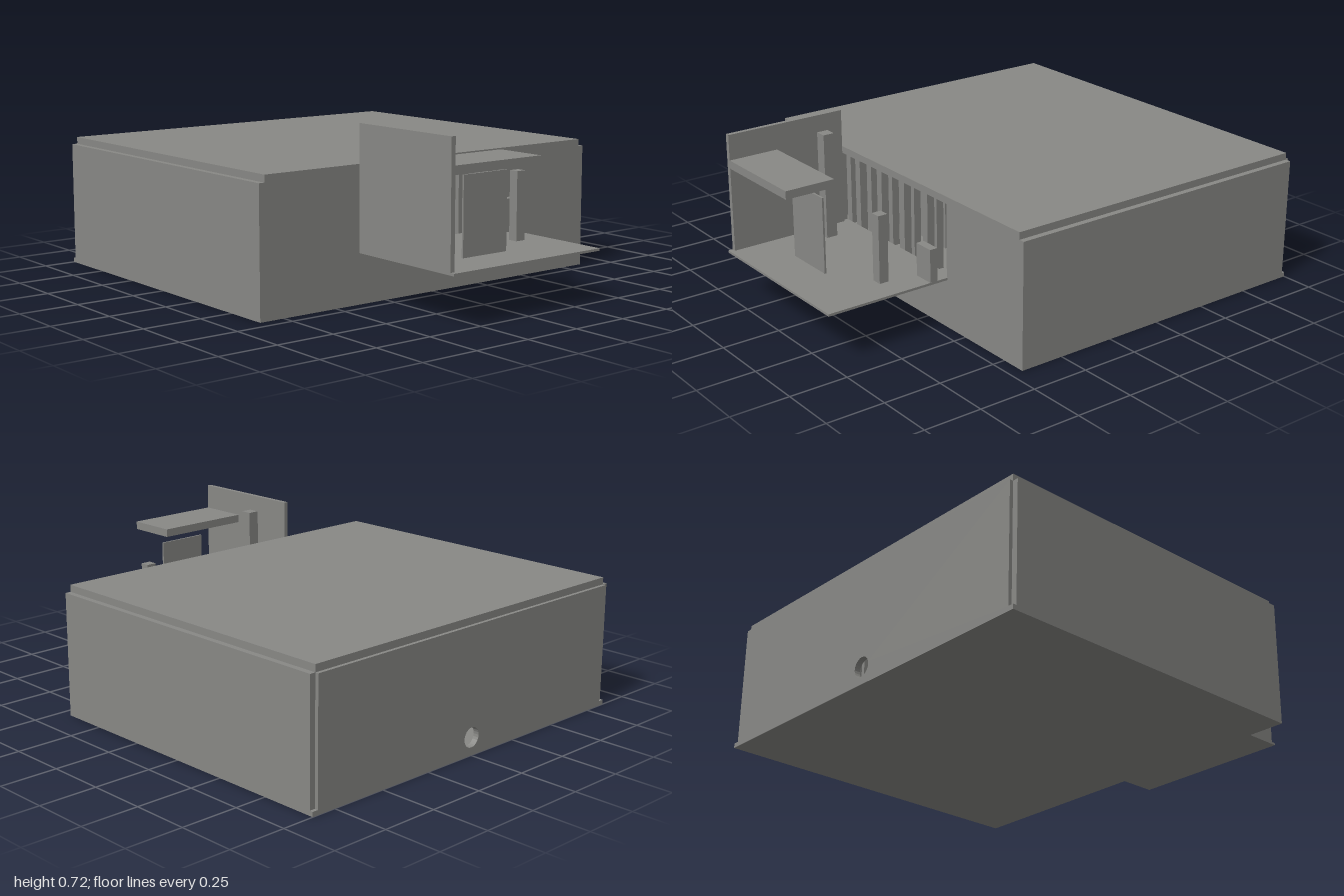
import * as THREE from 'three';

export function createModel() {
  const group = new THREE.Group();
  group.name = 'pavilion';
  const concrete = new THREE.MeshStandardMaterial({ color: 0x888885 });
  concrete.name = 'grey concrete';

  const add = (name, geometry) => {
    const mesh = new THREE.Mesh(geometry, concrete);
    mesh.name = name;
    group.add(mesh);
    return mesh;
  };
  // Box given by its extents on each axis
  const box = (name, x0, x1, y0, y1, z0, z1) =>
    add(name, new THREE.BoxGeometry(x1 - x0, y1 - y0, z1 - z0))
      .position.set((x0 + x1) / 2, (y0 + y1) / 2, (z0 + z1) / 2);
  // Upright wall from an outline, with a hole cut through it
  const wall = (name, outline, hole, z0, z1) => {
    const shape = new THREE.Shape(outline.map(([x, y]) => new THREE.Vector2(x, y)));
    shape.holes.push(hole);
    const geometry = new THREE.ExtrudeGeometry(shape, { depth: z1 - z0, bevelEnabled: false, curveSegments: 12 });
    add(name, geometry).position.z = z0;
  };

  // Hall shell
  box('floorSlab', -0.86, 0.86, 0, 0.02, -1, 0.42);
  box('roofSlab', -0.835, 0.835, 0.53, 0.56, -0.985, 0.42);
  for (const s of [-1, 1]) {
    const xs = [s * 0.835, s * 0.86].sort((a, b) => a - b);
    box(s > 0 ? 'leftWall' : 'rightWall', ...xs, 0.02, 0.53, -0.985, 0.42);
  }

  // Front wall with the wide entrance opening
  const entrance = new THREE.Path([[-0.38, 0.21], [-0.38, 0.53], [0.38, 0.53], [0.38, 0.21]]
    .map(([x, y]) => new THREE.Vector2(x, y)));
  wall('frontWall', [[-0.86, 0], [0.86, 0], [0.86, 0.53], [0.835, 0.53], [0.835, 0.56],
    [-0.835, 0.56], [-0.835, 0.53], [-0.86, 0.53]], entrance, 0.42, 0.445);

  // Back wall with a small round opening
  const roundHole = new THREE.Path();
  roundHole.absarc(0, 0.075, 0.042, 0, Math.PI * 2, true);
  wall('backWall', [[-0.835, 0.02], [0.835, 0.02], [0.835, 0.53], [-0.835, 0.53]], roundHole, -1, -0.975);

  // Grid of square columns inside the hall
  for (let i = 0; i < 10; i++) {
    for (let j = 0; j < 8; j++) {
      const x = (i - 4.5) / 6, z = 0.32 - j / 6;
      box('hallColumn', x - 0.0175, x + 0.0175, 0.02, 0.53, z - 0.0175, z + 0.0175);
    }
  }

  // Entrance porch
  box('porchDeck', -0.385, 0.385, 0.207, 0.217, 0.42, 1);
  box('porchWall', -0.385, -0.365, 0.21, 0.72, 0.445, 0.98);
  box('porchCanopy', -0.365, 0.07, 0.577, 0.612, 0.76, 0.98);
  box('porchScreen', -0.17, 0.057, 0.217, 0.54, 0.803, 0.811);
  box('tallPost', -0.3, -0.25, 0.217, 0.672, 0.555, 0.605);
  box('shortPost', 0.227, 0.272, 0.217, 0.503, 0.65, 0.692);
  box('lowBlock', 0.298, 0.39, 0.22, 0.36, 0.497, 0.532);

  return group;
}
